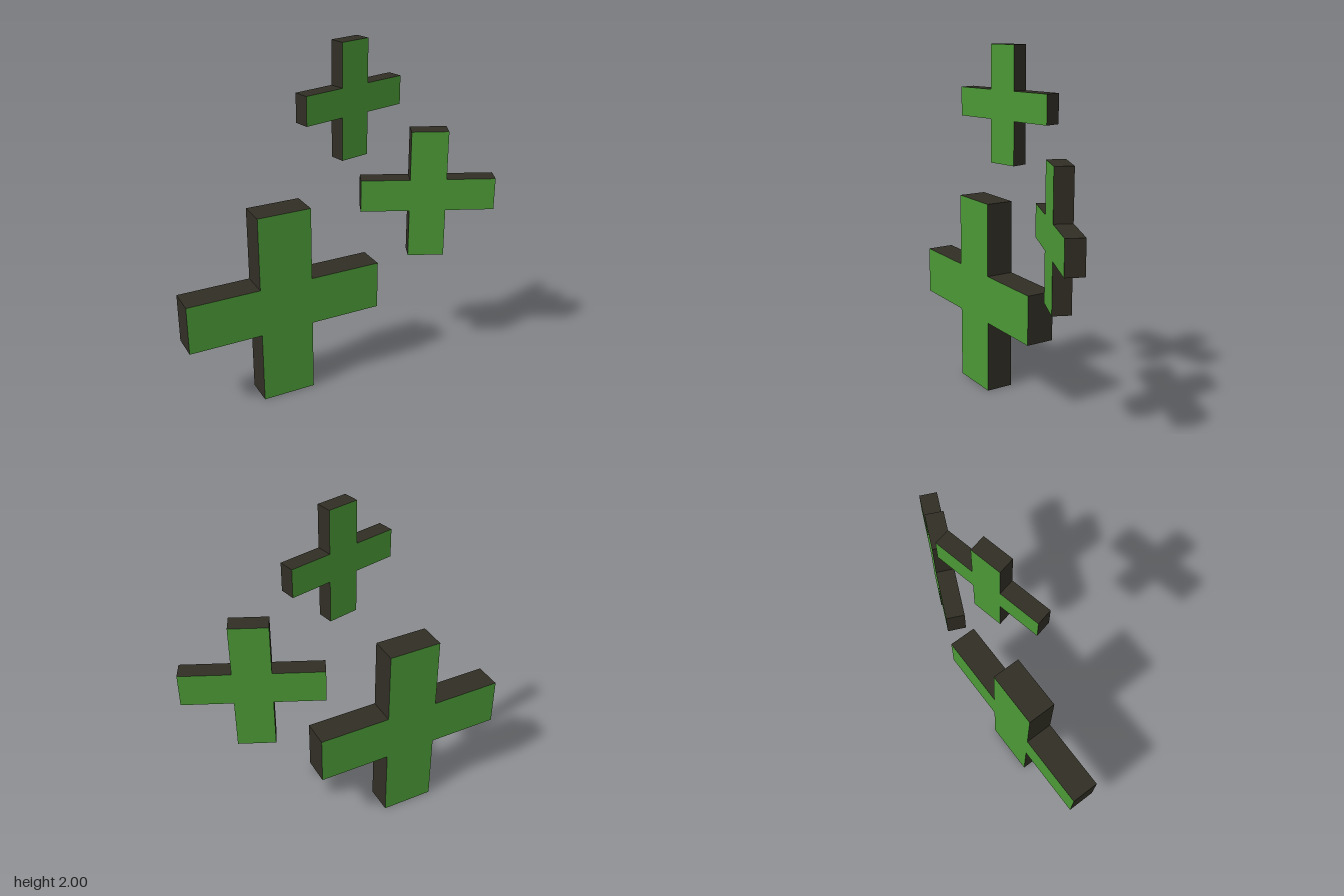
import * as THREE from 'three';

const green = new THREE.MeshStandardMaterial({ color: 0x4b9836 });
green.name = 'leaf green';
const dark = new THREE.MeshStandardMaterial({ color: 0x302e24 });
dark.name = 'dark olive edge';

// Upright plus: green front and back, dark rim, centred on its own origin
function makePlus(name, { width, height, barWidth, barHeight, depth, position, turn }) {
  const [w, h, a, b] = [width / 2, height / 2, barWidth / 2, barHeight / 2];
  const outline = [
    [-a, -h], [a, -h], [a, -b], [w, -b], [w, b], [a, b],
    [a, h], [-a, h], [-a, b], [-w, b], [-w, -b], [-a, -b],
  ];
  const shape = new THREE.Shape(outline.map(([x, y]) => new THREE.Vector2(x, y)));
  const geometry = new THREE.ExtrudeGeometry(shape, { depth, bevelEnabled: false });
  geometry.translate(0, 0, -depth / 2);
  const mesh = new THREE.Mesh(geometry, [green, dark]);
  mesh.name = name;
  mesh.position.set(...position);
  mesh.rotation.y = THREE.MathUtils.degToRad(turn);
  return mesh;
}

export function createModel() {
  const group = new THREE.Group();
  group.name = 'floatingPluses';
  group.add(
    makePlus('largePlus', {
      width: 1.134, height: 1.12, barWidth: 0.306, barHeight: 0.28, depth: 0.16,
      position: [-0.333, 0.56, -0.1], turn: 0,
    }),
    makePlus('mediumPlus', {
      width: 0.75, height: 0.74, barWidth: 0.204, barHeight: 0.184, depth: 0.1,
      position: [0.531, 1.089, 0], turn: -24.3,
    }),
    makePlus('smallPlus', {
      width: 0.625, height: 0.616, barWidth: 0.169, barHeight: 0.154, depth: 0.087,
      position: [0.046, 1.692, -0.013], turn: 12.5,
    }),
  );
  return group;
}
